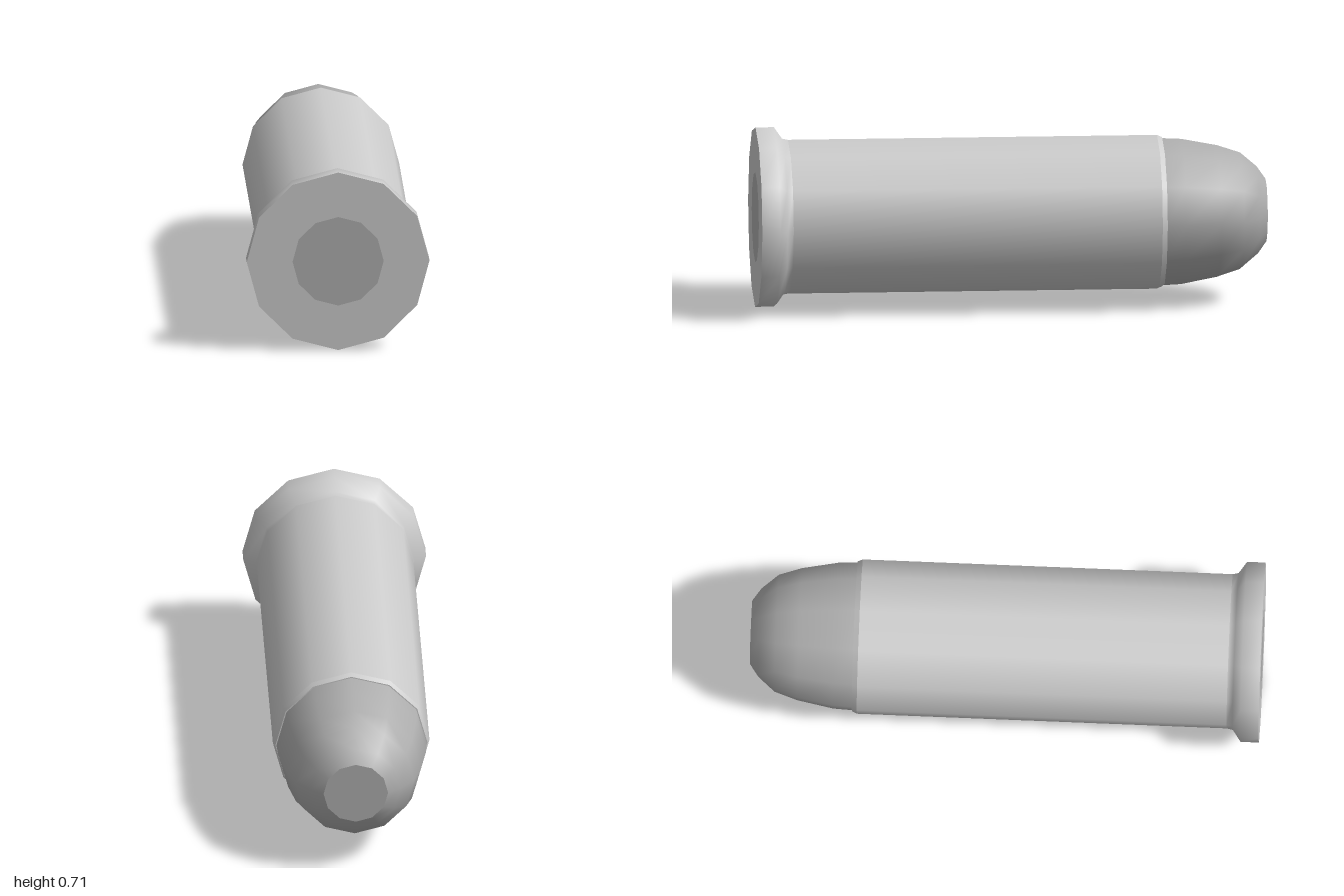
import * as THREE from 'three';

const SIDES = 12;

// Each profile is a list of [radius, z], running from the nose (-z) to the base (+z).
function turned(name, material, ...profiles) {
  const part = new THREE.Group();
  part.name = name;
  profiles.forEach((profile, i) => {
    const points = profile.map(([r, z]) => new THREE.Vector2(r, z));
    const geometry = new THREE.LatheGeometry(points, SIDES).rotateX(Math.PI / 2);
    const mesh = new THREE.Mesh(geometry, material);
    mesh.name = `${name}Surface${i + 1}`;
    part.add(mesh);
  });
  return part;
}

export function createModel() {
  const shell = new THREE.MeshStandardMaterial({ color: 0xcccccc });
  const dark = new THREE.MeshStandardMaterial({ color: 0xaeaeae });

  const body = new THREE.Group();
  body.name = 'cartridge';

  // Rounded bullet with a flat tip
  body.add(turned('bullet', dark,
    [[0, -1], [0.126, -1]],
    [[0.126, -1], [0.176, -0.965], [0.232, -0.9], [0.262, -0.81], [0.289, -0.67], [0.293, -0.59]],
  ));

  // Straight case with a bevelled mouth
  body.add(turned('case', shell,
    [[0.28, -0.595], [0.297, -0.595]],
    [[0.297, -0.595], [0.306, -0.575]],
    [[0.306, -0.575], [0.306, 0.87]],
  ));

  // Flared rim and flat base around the primer
  body.add(turned('rim', shell,
    [[0.306, 0.87], [0.311, 0.893], [0.357, 0.925], [0.357, 0.997]],
    [[0.357, 0.997], [0.178, 0.997]],
  ));

  // Primer disc, flush with the base
  body.add(turned('primer', dark, [[0.178, 0.997], [0, 0.997]]));

  // The cartridge lies very slightly askew
  body.rotation.set(-0.002, 0.0085, 0);
  body.position.set(-0.0085, 0.357, 0);

  const model = new THREE.Group();
  model.name = 'model';
  model.add(body);
  return model;
}
